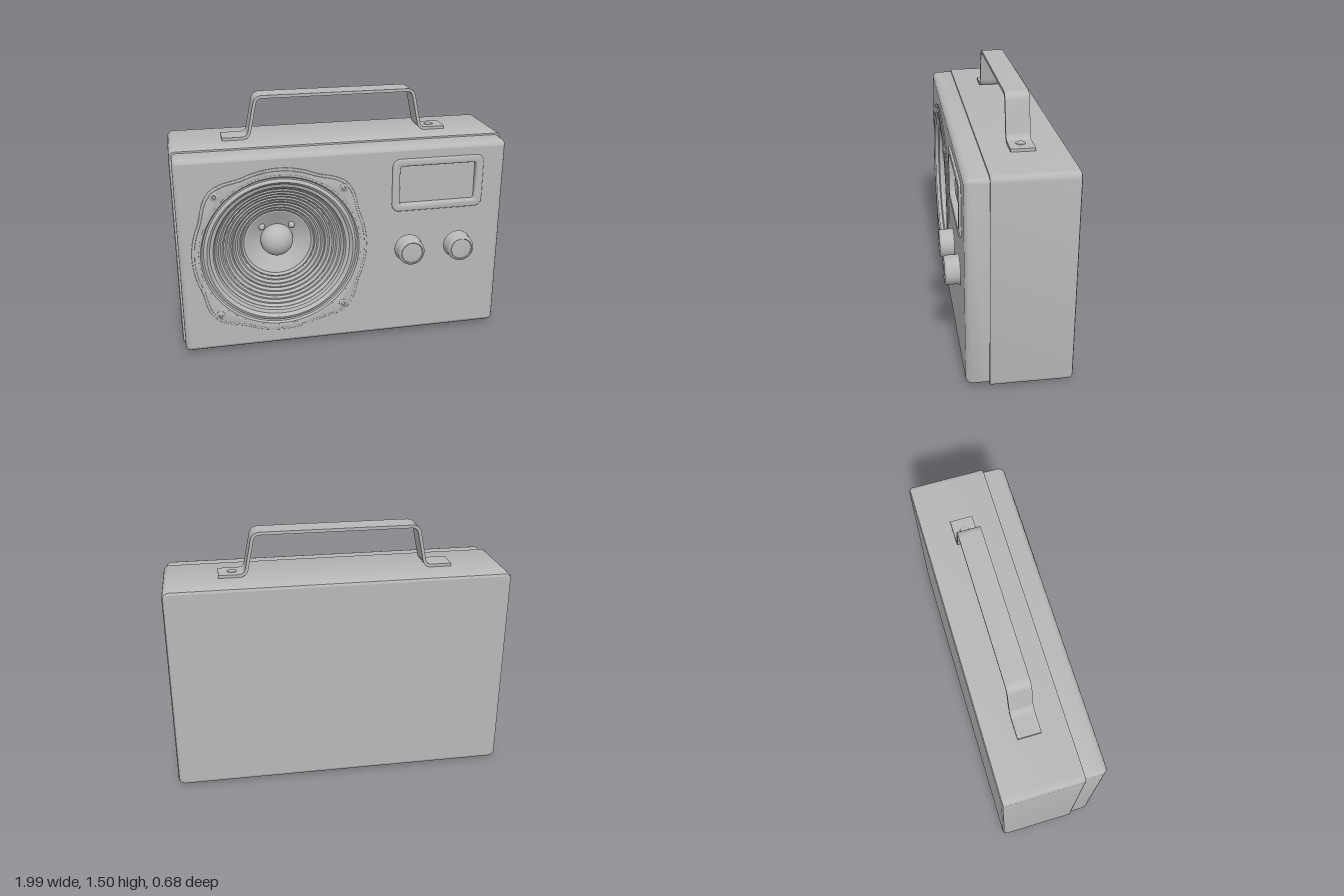
import * as THREE from 'three';
import { toCreasedNormals } from 'three/addons/utils/BufferGeometryUtils.js';

const CY = 0.625;                       // height of the cabinet centre
const SPEAKER = [-0.387, 0.633];

// Rounded rectangle as a fixed count of points, counter-clockwise
function roundedRect(hw, hh, r, cx = 0, cy = 0, steps = 6) {
  const pts = [];
  [[1, 1], [-1, 1], [-1, -1], [1, -1]].forEach(([sx, sy], k) => {
    for (let i = 0; i <= steps; i++) {
      const a = (k + i / steps) * Math.PI / 2;
      pts.push(new THREE.Vector2(cx + sx * (hw - r) + r * Math.cos(a), cy + sy * (hh - r) + r * Math.sin(a)));
    }
  });
  return pts;
}

// Skin between outlines placed at successive z
function loft(sections) {
  const pos = [], idx = [], n = sections[0].pts.length;
  sections.forEach(s => s.pts.forEach(p => pos.push(p.x, p.y, s.z)));
  for (let j = 0; j < sections.length - 1; j++) {
    for (let i = 0; i < n; i++) {
      const a = j * n + i, b = j * n + (i + 1) % n;
      idx.push(a, b, b + n, a, b + n, a + n);
    }
  }
  const g = new THREE.BufferGeometry();
  g.setAttribute('position', new THREE.Float32BufferAttribute(pos, 3));
  g.setIndex(idx);
  return toCreasedNormals(g, 0.7);
}

// Lathe about the z axis from [radius, z] pairs
function latheZ(profile, segments = 64) {
  const g = new THREE.LatheGeometry(profile.map(([r, z]) => new THREE.Vector2(r, z)), segments);
  return toCreasedNormals(g.rotateX(Math.PI / 2), 0.6);
}

function plate(points, hole, z, depth, bevel) {
  const shape = new THREE.Shape(points);
  if (hole) shape.holes.push(new THREE.Path(hole));
  const g = new THREE.ExtrudeGeometry(shape, {
    depth: depth - bevel, bevelThickness: bevel, bevelSize: bevel, bevelOffset: -bevel, bevelSegments: 3, curveSegments: 24,
  });
  return toCreasedNormals(g.translate(0, 0, z), 0.6);
}

export function createModel() {
  const grey = new THREE.MeshStandardMaterial({ color: 0xb8b8b8 });
  grey.name = 'grey';
  const model = new THREE.Group();
  model.name = 'portableRadio';
  const add = (name, geometry, x = 0, y = 0, z = 0, parent = model) => {
    const m = new THREE.Mesh(geometry, grey);
    m.name = name;
    m.position.set(x, y, z);
    parent.add(m);
    return m;
  };
  const group = name => {
    const g = new THREE.Group();
    g.name = name;
    model.add(g);
    return g;
  };
  const circle = r => new THREE.Path().absarc(0, 0, r, 0, Math.PI * 2).getPoints(64);

  // Cabinet: rear shell, small step, rounded front shell
  const outline = inset => roundedRect(0.993 - inset, 0.62 - inset, 0.036 - inset * 0.6, 0, CY);
  const rows = [[-0.34, 0.02], [-0.334, 0.006], [-0.32, 0], [0.115, 0], [0.122, 0.004], [0.122, 0.014],
    [0.215, 0.015], [0.232, 0.019], [0.244, 0.028], [0.25, 0.042]];
  add('cabinet', loft(rows.map(([z, inset]) => ({ z, pts: outline(inset) }))));
  add('backPanel', new THREE.ShapeGeometry(new THREE.Shape(outline(0.02).map(p => new THREE.Vector2(-p.x, p.y)))).rotateY(Math.PI), 0, 0, -0.34);

  const face = new THREE.Shape(outline(0.042));
  face.holes.push(new THREE.Path(circle(0.485).map(p => new THREE.Vector2(p.x + SPEAKER[0], p.y + SPEAKER[1]))));
  face.holes.push(new THREE.Path(roundedRect(0.255, 0.138, 0.03, 0.56, 0.993)));
  add('frontPanel', new THREE.ShapeGeometry(face), 0, 0, 0.25);

  // Speaker: frame with four ears, surround, ribbed cone and dust cap
  const speaker = group('speaker');
  speaker.position.set(SPEAKER[0], SPEAKER[1], 0);
  const earOutline = scale => Array.from({ length: 128 }, (_, i) => {
    const a = i / 128 * Math.PI * 2;
    const r = scale * (0.518 + 0.05 * Math.max(0, -Math.cos(4 * a)) ** 2);
    return new THREE.Vector2(r * Math.cos(a), r * Math.sin(a));
  });
  add('speakerGasket', plate(earOutline(1), circle(0.475), 0.245, 0.011, 0.004), 0, 0, 0, speaker);
  add('speakerFrame', plate(earOutline(0.97), circle(0.475), 0.25, 0.012, 0.004), 0, 0, 0, speaker);
  add('speakerSurround', latheZ([[0.49, 0.25], [0.478, 0.262], [0.468, 0.262], [0.46, 0.248], [0.45, 0.246], [0.443, 0.254],
    [0.432, 0.257], [0.422, 0.25], [0.415, 0.236], [0.405, 0.234], [0.395, 0.23], [0.387, 0.212]], 96), 0, 0, 0, speaker);
  const cone = [];
  for (let i = 0; i <= 96; i++) {
    const t = i / 96;
    const ripple = t < 0.62 ? 0.004 * Math.sin(t / 0.62 * Math.PI * 18) : 0;
    cone.push([0.387 - 0.302 * t, 0.212 - 0.162 * Math.pow(t, 0.9) + ripple]);
  }
  add('speakerCone', latheZ(cone, 96), 0, 0, 0, speaker);
  add('dustCap', new THREE.SphereGeometry(0.1, 40, 24), 0, 0, 0.06, speaker);
  for (const s of [-1, 1]) {
    add('coneTerminal', new THREE.SphereGeometry(0.02, 16, 10), s * 0.09, 0.095, 0.078, speaker);
    for (const t of [-1, 1]) {
      const screw = add('speakerScrew', latheZ([[0.026, 0], [0.026, 0.005], [0.021, 0.009], [0.012, 0.01], [0.009, 0.005], [0, 0.005]], 24),
        s * 0.373, t * 0.375, 0.259, speaker);
      screw.rotation.z = 0.4;
    }
  }

  // Display: raised bezel around a sunken window
  const display = group('display');
  display.position.set(0.56, 0.993, 0);
  add('displayBezel', plate(roundedRect(0.28, 0.162, 0.045), roundedRect(0.234, 0.117, 0.016), 0.222, 0.04, 0.01), 0, 0, 0, display);
  add('displayWindow', new THREE.PlaneGeometry(0.49, 0.25), 0, 0, 0.228, display);

  // Control knobs
  const knob = [[0.094, 0.248], [0.086, 0.252], [0.081, 0.262], [0.081, 0.318], [0.078, 0.328], [0.071, 0.334],
    [0.066, 0.335], [0.062, 0.331], [0, 0.331]];
  for (const x of [0.392, 0.702]) add('knob', latheZ(knob, 48), x, 0.588, 0);

  // Carrying handle: flat strap bent along a path
  const corners = [[-0.68, 1.253], [-0.525, 1.253], [-0.475, 1.495], [0.475, 1.495], [0.525, 1.253], [0.68, 1.253]]
    .map(([x, y]) => new THREE.Vector2(x, y));
  const path = [corners[0]];
  for (let i = 1; i < corners.length - 1; i++) {
    const c = corners[i], bend = 0.04;
    const toward = q => q.clone().sub(c).setLength(bend).add(c);
    path.push(...new THREE.QuadraticBezierCurve(toward(corners[i - 1]), c, toward(corners[i + 1])).getPoints(8));
  }
  path.push(corners[5]);
  const side = d => path.map((p, i) => {
    const t = path[Math.min(i + 1, path.length - 1)].clone().sub(path[Math.max(i - 1, 0)]).normalize();
    return new THREE.Vector2(p.x - t.y * d, p.y + t.x * d);
  });
  const strap = new THREE.Shape([...side(-0.009), ...side(0.009).reverse()]);
  const strapGeo = new THREE.ExtrudeGeometry(strap, { depth: 0.134, bevelEnabled: false });
  add('handle', toCreasedNormals(strapGeo, 0.6), 0, 0, -0.162);
  add('handleScrew', latheZ([[0.028, 0], [0.026, 0.006], [0.018, 0.009], [0, 0.01]], 24).rotateX(-Math.PI / 2), 0.6, 1.26, -0.095);

  return model;
}
